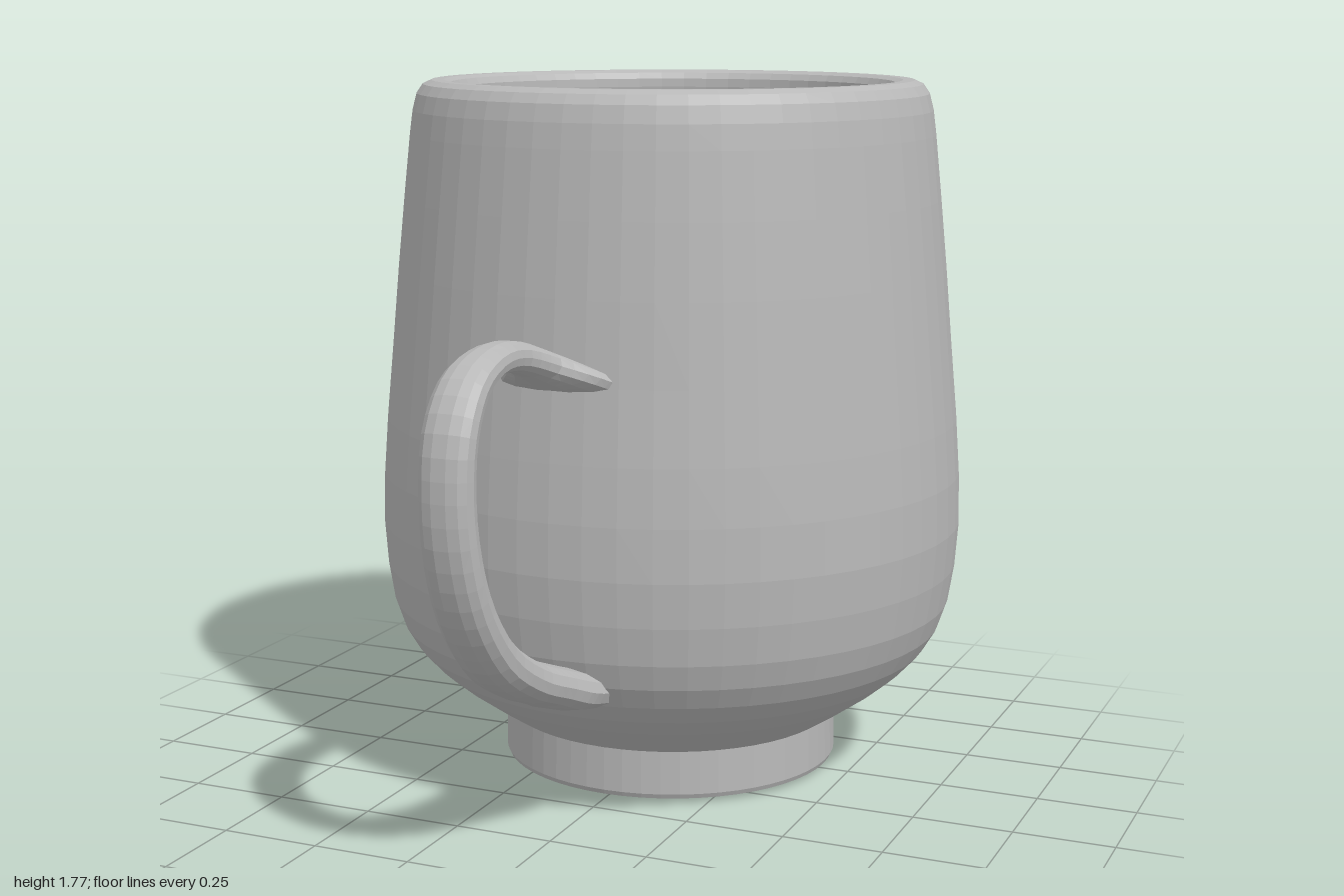
import * as THREE from 'three';

const CUP_Z = -0.25;

// Faceted normals, one per face
function faceted(geometry) {
  const flat = geometry.index ? geometry.toNonIndexed() : geometry;
  flat.computeVertexNormals();
  return flat;
}

function lathe(points) {
  const profile = points.map(([r, y]) => new THREE.Vector2(r, y));
  return faceted(new THREE.LatheGeometry(profile, 56)).translate(0, 0, CUP_Z);
}

// Sweeps an oval through stations of [z, y, half width, half thickness, x offset]
function sweepHandle(stations, rings, sides) {
  const path = new THREE.CatmullRomCurve3(stations.map(([z, y]) => new THREE.Vector3(0, y, z)));
  const shape = new THREE.CatmullRomCurve3(stations.map(([, , w, h, x]) => new THREE.Vector3(w, h, x)));
  const positions = [];
  const index = [];
  for (let i = 0; i <= rings; i++) {
    const p = path.getPoint(i / rings);
    const t = path.getTangent(i / rings);
    const s = shape.getPoint(i / rings);
    for (let j = 0; j < sides; j++) {
      const a = (j / sides) * Math.PI * 2;
      // Slightly squared oval
      const c = Math.sign(Math.cos(a)) * Math.abs(Math.cos(a)) ** 0.85 * s.x;
      const n = Math.sign(Math.sin(a)) * Math.abs(Math.sin(a)) ** 0.85 * s.y;
      positions.push(s.z + c, p.y + n * t.z, p.z - n * t.y);
      if (i < rings) {
        const k = (j + 1) % sides;
        const a0 = i * sides + j, b0 = i * sides + k;
        index.push(a0, b0, b0 + sides, a0, b0 + sides, a0 + sides);
      }
    }
  }
  const geometry = new THREE.BufferGeometry();
  geometry.setAttribute('position', new THREE.Float32BufferAttribute(positions, 3));
  geometry.setIndex(index);
  return faceted(geometry);
}

export function createModel() {
  const model = new THREE.Group();
  model.name = 'mug';
  const ceramic = new THREE.MeshStandardMaterial({ color: 0xb8b8b8 });
  ceramic.name = 'grey ceramic';

  const add = (name, geometry) => {
    const mesh = new THREE.Mesh(geometry, ceramic);
    mesh.name = name;
    model.add(mesh);
  };

  // Foot ring with a closed underside
  add('foot', lathe([
    [0, 0], [0.16, 0.001], [0.415, 0.009], [0.432, 0.012], [0.437, 0.024], [0.434, 0.135],
  ]));

  // Outer wall, rounded rim and hollow inside
  add('body', lathe([
    [0.434, 0.135], [0.5, 0.178], [0.566, 0.225], [0.625, 0.274], [0.672, 0.325], [0.705, 0.38],
    [0.727, 0.445], [0.742, 0.54], [0.75, 0.65], [0.747, 0.78], [0.737, 0.92], [0.72, 1.1],
    [0.702, 1.3], [0.684, 1.48], [0.667, 1.64], [0.659, 1.7], [0.648, 1.742], [0.632, 1.765],
    [0.61, 1.775], [0.58, 1.775], [0.561, 1.768], [0.551, 1.752], [0.55, 1.73],
    [0.565, 1.62], [0.6, 1.3], [0.633, 0.95], [0.648, 0.7], [0.642, 0.57], [0.62, 0.47],
    [0.57, 0.39], [0.5, 0.325], [0.42, 0.265], [0.345, 0.215], [0.335, 0.2],
  ]));

  // Inside floor
  add('floor', lathe([[0.335, 0.2], [0.33, 0.15], [0.315, 0.137], [0, 0.135]]));

  // Looped handle, flaring where it joins the wall
  add('handle', sweepHandle([
    [0.42, 1.1, 0.17, 0.03, 0], [0.48, 1.13, 0.125, 0.034, 0], [0.55, 1.165, 0.065, 0.036, -0.01],
    [0.65, 1.196, 0.047, 0.036, -0.015], [0.76, 1.2, 0.052, 0.036, -0.017],
    [0.87, 1.162, 0.06, 0.04, -0.017], [0.937, 1.07, 0.064, 0.044, -0.017],
    [0.955, 0.93, 0.064, 0.045, -0.017], [0.935, 0.78, 0.066, 0.046, -0.015],
    [0.88, 0.65, 0.069, 0.048, -0.013], [0.78, 0.53, 0.074, 0.05, -0.01],
    [0.66, 0.452, 0.085, 0.05, -0.005], [0.56, 0.41, 0.1, 0.05, 0],
    [0.48, 0.378, 0.12, 0.052, 0], [0.41, 0.36, 0.13, 0.05, 0],
  ], 44, 14));

  return model;
}
